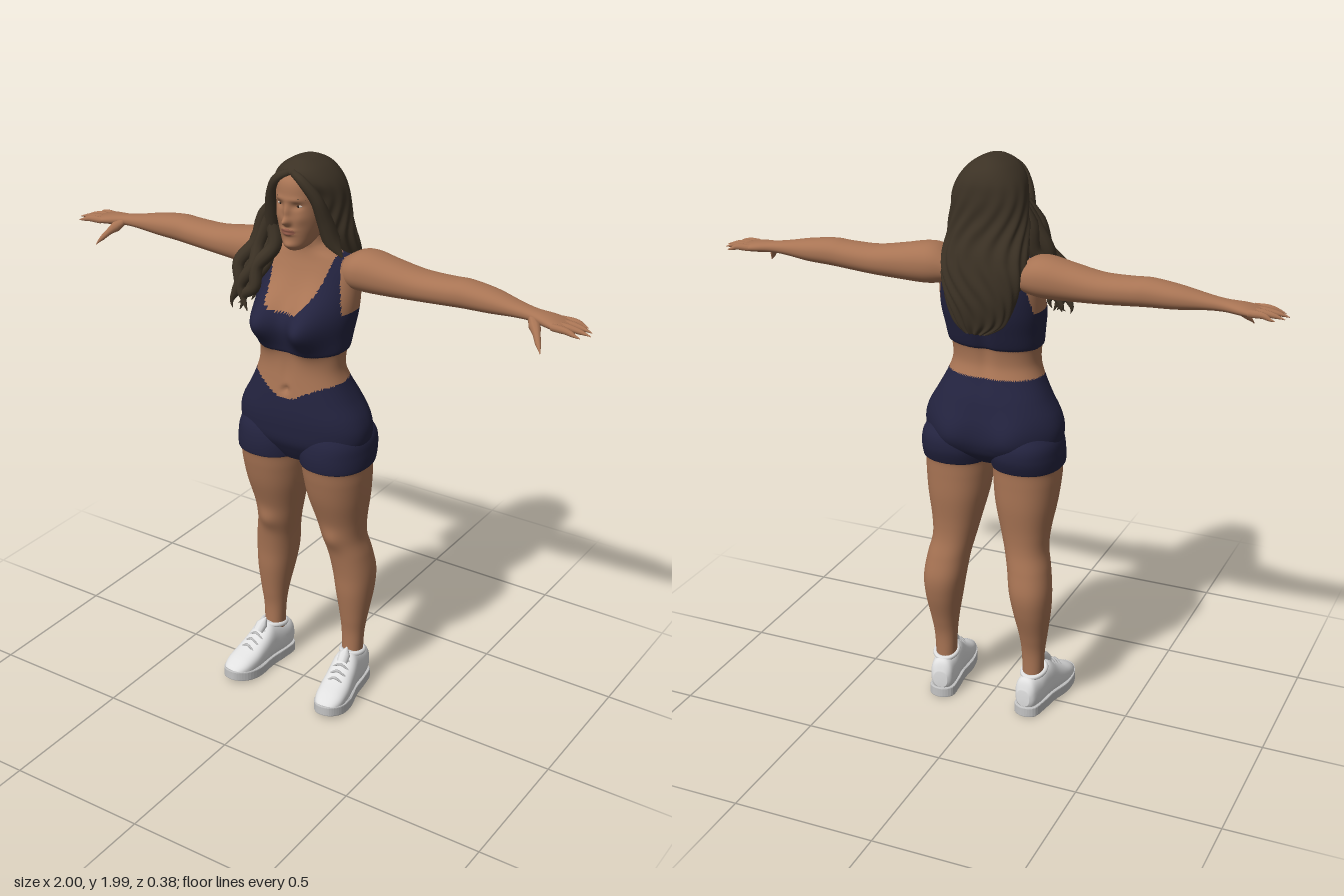
import * as THREE from 'three';

const mat = (name, color, side = THREE.FrontSide) => Object.assign(new THREE.MeshStandardMaterial({ color, side }), { name });

// Smooth closed loft. Each row is [t, a0, a1, b0, b1]: a position and the extents of its oval.
const upright = (t, a, b) => [a, t, b];   // along y: a = x, b = z
const sideways = (t, a, b) => [t, b, a];  // along x: a = z, b = y
const forward = (t, a, b) => [b, a, t];   // along z: a = y, b = x
function loft(rows, { map = upright, n = 48, steps = 6, power = 0.9, warp } = {}) {
  const spline = (p, q, r, s, u) =>
    0.5 * (2 * q + (r - p) * u + (2 * p - 5 * q + 4 * r - s) * u * u + (3 * q - p - 3 * r + s) * u * u * u);
  const at = (i) => rows[Math.min(rows.length - 1, Math.max(0, i))];
  const rings = [];
  const total = (rows.length - 1) * steps;
  for (let k = 0; k <= total; k++) {
    const i = Math.floor(k / steps);
    rings.push(rows[0].map((_, c) => spline(at(i - 1)[c], at(i)[c], at(i + 1)[c], at(i + 2)[c], k / steps - i)));
  }
  const point = ([t, a0, a1, b0, b1]) => [t, (a0 + a1) / 2, (a0 + a1) / 2, (b0 + b1) / 2, (b0 + b1) / 2];
  rings.unshift(point(rings[0]));
  rings.push(point(rings[rings.length - 1]));
  const pos = [], index = [];
  const soft = (v) => Math.sign(v) * Math.abs(v) ** power;
  rings.forEach(([t, a0, a1, b0, b1], i) => {
    for (let j = 0; j < n; j++) {
      const th = (j / n) * Math.PI * 2, c = soft(Math.cos(th)), s = soft(Math.sin(th));
      const p = new THREE.Vector3(...map(t, (a0 + a1 + (a1 - a0) * c) / 2, (b0 + b1 + (b1 - b0) * s) / 2));
      if (warp) warp(p, s, th);
      pos.push(p.x, p.y, p.z);
      if (i === rings.length - 1) continue;
      const p0 = i * n + j, p1 = i * n + (j + 1) % n;
      index.push(p0, p0 + n, p1, p1, p0 + n, p1 + n);
    }
  });
  const geo = new THREE.BufferGeometry();
  geo.setAttribute('position', new THREE.Float32BufferAttribute(pos, 3));
  geo.setIndex(index);
  geo.computeVertexNormals();
  return geo;
}

// Swelling or hollow in z: [x, y, width, height, amount], mirrored when x is not 0
const swell = (list, dir = 1) => (p, s) => {
  const w = Math.sqrt(Math.max(0, s * dir));
  let d = 0;
  for (const [x, y, rx, ry, amount] of list)
    for (const cx of x ? [x, -x] : [0]) d += amount * Math.exp(-(((p.x - cx) / rx) ** 2) - ((p.y - y) / ry) ** 2);
  p.z += dir * w * d;
};

// Sorts the triangles into material groups by a rule on their centres
function paint(geo, rule, count) {
  const p = geo.attributes.position, idx = geo.index.array;
  const bins = Array.from({ length: count }, () => []);
  for (let i = 0; i < idx.length; i += 3) {
    const t = [idx[i], idx[i + 1], idx[i + 2]];
    const mean = (f) => (p[f](t[0]) + p[f](t[1]) + p[f](t[2])) / 3;
    bins[rule(mean('getX'), mean('getY'), mean('getZ'))].push(...t);
  }
  geo.setIndex(bins.flat());
  let start = 0;
  bins.forEach((b, m) => { geo.addGroup(start, b.length, m); start += b.length; });
  return geo;
}

function mirror(source) {
  const geo = source.clone().scale(-1, 1, 1), a = geo.index.array;
  for (let i = 0; i < a.length; i += 3) [a[i], a[i + 1]] = [a[i + 1], a[i]];
  geo.computeVertexNormals();
  return geo;
}

// Tapered tube through points [x, y, z, radius]
function strand(pts, n = 16, sides = 10) {
  const curve = new THREE.CatmullRomCurve3(pts.map(([x, y, z]) => new THREE.Vector3(x, y, z)));
  const geo = new THREE.TubeGeometry(curve, n, 1, sides), p = geo.attributes.position, v = new THREE.Vector3();
  for (let i = 0; i < p.count; i++) {
    const u = Math.floor(i / (sides + 1)) / n, f = u * (pts.length - 1), k = Math.min(pts.length - 2, Math.floor(f));
    const c = curve.getPointAt(u);
    v.fromBufferAttribute(p, i).sub(c).multiplyScalar(THREE.MathUtils.lerp(pts[k][3], pts[k + 1][3], f - k)).add(c);
    p.setXYZ(i, v.x, v.y, v.z);
  }
  return geo;
}

export function createModel() {
  const skin = mat('skin', 0xa87454), navy = mat('navy fabric', 0x23233f), hair = mat('dark brown hair', 0x3c3225);
  const white = mat('white shoe', 0xe0e0e0), grey = mat('grey sole', 0xc4c4c4);
  const lip = mat('lips', 0x955c4a), eyeWhite = mat('eye white', 0xcbbfb4), iris = mat('iris', 0x33241a);
  const model = new THREE.Group();
  const add = (name, geo, m, parent = model) => {
    const mesh = new THREE.Mesh(geo, m);
    mesh.name = name;
    parent.add(mesh);
    return mesh;
  };
  const pair = (name, geo, m) => { add('left' + name, geo, m); add('right' + name, mirror(geo), m); };
  const sym = (rows) => rows.map(([y, r, zb, zf]) => [y, -r, r, zb, zf]);

  // Torso with sports top and shorts
  const front = swell([[0.087, 1.455, 0.07, 0.085, 0.105], [0, 1.215, 0.012, 0.012, -0.014], [0, 1.28, 0.02, 0.07, -0.006]]);
  const back = swell([[0.11, 1.05, 0.09, 0.085, 0.04], [0, 1.4, 0.025, 0.16, -0.012]], -1);
  const torso = loft(sym([
    [0.94, 0.1, -0.09, 0.07], [0.98, 0.2, -0.13, 0.095], [1.02, 0.238, -0.145, 0.115], [1.07, 0.247, -0.15, 0.122],
    [1.12, 0.234, -0.15, 0.124], [1.18, 0.2, -0.14, 0.12], [1.24, 0.17, -0.113, 0.112], [1.29, 0.154, -0.095, 0.105],
    [1.345, 0.156, -0.098, 0.098], [1.36, 0.165, -0.11, 0.1], [1.41, 0.17, -0.128, 0.095], [1.48, 0.178, -0.148, 0.085],
    [1.56, 0.177, -0.157, 0.06], [1.62, 0.17, -0.152, 0.038], [1.66, 0.14, -0.14, 0.025], [1.69, 0.085, -0.12, 0.022],
    [1.72, 0.058, -0.09, 0.028], [1.8, 0.055, -0.08, 0.03],
  ]), { n: 144, steps: 8, power: 0.88, warp: (p, s) => { front(p, s); back(p, s); } });
  const clothed = (x, y, z) => {
    const ax = Math.abs(x);
    if (y < 1.3) return y < 1.25 - (z > 0 ? 0.065 * Math.exp(-((x / 0.1) ** 2)) : 0) ? 1 : 0;
    if (y < 1.35) return 0;
    const neckline = (z > -0.06 ? 1.495 : 1.56) + 0.1 * (ax / 0.1) ** 4;
    const armhole = y > 1.49 && ax > 0.13 + (1.68 - y) * 0.2;
    return y < neckline && !armhole && ax > (y > 1.66 ? 0.08 : -1) ? 1 : 0;
  };
  add('torso', paint(torso, clothed, 2), [skin, navy]);

  // Legs with the short trouser legs
  const leg = loft([
    [0.1, 0.135, 0.205, -0.105, -0.025], [0.22, 0.13, 0.21, -0.105, -0.028], [0.3, 0.122, 0.22, -0.122, -0.018],
    [0.4, 0.104, 0.233, -0.152, -0.005], [0.48, 0.09, 0.236, -0.163, 0], [0.56, 0.078, 0.226, -0.15, 0.012],
    [0.63, 0.062, 0.212, -0.136, 0.028], [0.7, 0.045, 0.216, -0.135, 0.045], [0.8, 0.022, 0.232, -0.144, 0.08],
    [0.88, 0.012, 0.24, -0.146, 0.1], [0.932, 0.009, 0.242, -0.148, 0.11], [0.942, 0.004, 0.25, -0.156, 0.118],
    [0.99, 0.004, 0.25, -0.172, 0.12], [1.04, 0.02, 0.24, -0.165, 0.11], [1.09, 0.05, 0.2, -0.12, 0.08],
  ], { steps: 8, warp: (p, s) => { if (s > 0) p.z += 0.012 * s * Math.exp(-(((p.x - 0.135) / 0.04) ** 2) - ((p.y - 0.64) / 0.04) ** 2); } });
  pair('Leg', paint(leg, (x, y) => (y > 0.936 ? 1 : 0), 2), [skin, navy]);

  // Arms and hands
  pair('Arm', loft([
    [0.12, -0.13, -0.015, 1.57, 1.655], [0.17, -0.15, 0.003, 1.557, 1.685], [0.22, -0.155, 0, 1.553, 1.69],
    [0.3, -0.15, -0.01, 1.555, 1.675], [0.4, -0.147, -0.022, 1.56, 1.659], [0.5, -0.143, -0.027, 1.567, 1.659],
    [0.56, -0.14, -0.03, 1.571, 1.662], [0.65, -0.134, -0.035, 1.575, 1.651], [0.74, -0.115, -0.043, 1.583, 1.632],
    [0.8, -0.106, -0.045, 1.584, 1.622], [0.86, -0.115, -0.028, 1.58, 1.616], [0.905, -0.116, -0.02, 1.58, 1.606],
    [0.92, -0.108, -0.028, 1.585, 1.601],
  ], { map: sideways }), skin);
  [[-0.105, -0.112, 0.965], [-0.081, -0.083, 0.99], [-0.056, -0.055, 0.998], [-0.031, -0.022, 0.978]].forEach(([z0, z1, tip], i) =>
    pair('Finger' + (i + 1), strand([[0.88, 1.596, z0, 0.012], [0.93, 1.595, (z0 + z1) / 2, 0.012],
      [tip - 0.015, 1.587, z1, 0.009], [tip, 1.583, z1, 0.001]]), skin));
  pair('Thumb', strand([[0.8, 1.6, -0.055, 0.012], [0.83, 1.575, -0.025, 0.019], [0.855, 1.545, 0.005, 0.012],
    [0.866, 1.53, 0.016, 0.009], [0.87, 1.523, 0.02, 0.001]]), skin);

  // Head with modelled features
  const face = swell([
    [0, 1.8, 0.013, 0.013, 0.026], [0, 1.83, 0.011, 0.028, 0.013], [0, 1.77, 0.022, 0.006, 0.008], [0, 1.757, 0.018, 0.006, 0.008],
    [0.033, 1.852, 0.017, 0.011, -0.009], [0, 1.717, 0.024, 0.013, 0.008], [0.03, 1.873, 0.028, 0.009, 0.004], [0.045, 1.81, 0.02, 0.02, 0.005],
  ]);
  const head = loft(sym([
    [1.697, 0.025, 0, 0.075], [1.715, 0.045, -0.04, 0.088], [1.75, 0.062, -0.08, 0.093], [1.79, 0.074, -0.1, 0.096],
    [1.84, 0.08, -0.11, 0.098], [1.89, 0.08, -0.11, 0.1], [1.93, 0.073, -0.1, 0.092], [1.96, 0.05, -0.07, 0.062], [1.972, 0.02, -0.03, 0.03],
  ]), { n: 120, steps: 12, warp: face });
  add('head', paint(head, (x, y, z) => (z > 0.07 && (x / 0.026) ** 2 + ((y - 1.764) / 0.011) ** 2 < 1 ? 1 : 0), 2), [skin, lip]);
  const ball = (x, y, z, rx, ry, rz) => new THREE.SphereGeometry(1, 16, 12).scale(rx, ry, rz).translate(x, y, z);
  pair('Eye', ball(0.033, 1.852, 0.078, 0.014, 0.0055, 0.007), eyeWhite);
  pair('Iris', ball(0.033, 1.852, 0.0825, 0.0055, 0.005, 0.004), iris);
  pair('Eyebrow', strand([[0.014, 1.872, 0.099, 0.001], [0.035, 1.878, 0.092, 0.003], [0.056, 1.873, 0.076, 0.001]], 12, 6), hair);
  pair('UpperLashes', strand([[0.018, 1.854, 0.084, 0.001], [0.033, 1.859, 0.084, 0.002], [0.05, 1.853, 0.074, 0.001]], 10, 6), iris);

  // Long hair down the back, with gentle waves
  add('hair', loft([
    [1.42, -0.03, 0.05, -0.16, -0.13], [1.46, -0.09, 0.09, -0.172, -0.12], [1.54, -0.125, 0.12, -0.185, -0.1],
    [1.62, -0.148, 0.138, -0.184, -0.07], [1.68, -0.15, 0.142, -0.175, -0.035], [1.74, -0.142, 0.135, -0.16, 0],
    [1.8, -0.134, 0.13, -0.15, 0.02], [1.87, -0.125, 0.125, -0.147, 0.045], [1.92, -0.108, 0.108, -0.14, 0.075],
    [1.96, -0.075, 0.075, -0.115, 0.073], [1.984, -0.035, 0.035, -0.07, 0.035], [1.989, -0.012, 0.012, -0.035, 0.005],
  ], {
    n: 96, steps: 8, warp: (p, s, th) => {
      const w = 0.004 * THREE.MathUtils.clamp((1.93 - p.y) * 6, 0, 1) * Math.sin(14 * th + 6 * Math.sin(p.y * 14));
      p.x += w * Math.cos(th);
      p.z += w * Math.sin(th);
    },
  }), hair);

  // Locks framing the face, the right ones falling over the shoulder
  const locks = new THREE.Group();
  locks.name = 'hairLocks';
  model.add(locks);
  for (const s of [1, -1])
    add('fringe', strand([[s * 0.004, 1.955, 0.07, 0.012], [s * 0.045, 1.932, 0.076, 0.019], [s * 0.083, 1.875, 0.056, 0.022],
      [s * 0.1, 1.8, 0.03, 0.027], [s * 0.115, 1.73, 0.01, 0.03], [s * 0.14, 1.675, -0.01, 0.004]], 28), hair, locks);
  for (let i = 0; i < 7; i++) {
    const k = i / 6 - 0.5, w = i % 2 ? 0.012 : -0.012, zo = (i % 3) * 0.02;
    add('shoulderLock', strand([[-0.1, 1.84, 0.02 - zo, 0.012], [-0.125 + k * 0.04, 1.76, 0.02 - zo, 0.025],
      [-0.14 + k * 0.07 - w, 1.68, 0.035 - zo, 0.025], [-0.165 + k * 0.07 + w, 1.61, 0.065 - zo, 0.024],
      [-0.185 + k * 0.06 - w, 1.54, 0.08 - zo, 0.022], [-0.2 + k * 0.05 + w, 1.485 + k * 0.03, 0.08 - zo, 0.018],
      [-0.2 + k * 0.06, 1.45 + (i % 3) * 0.012, 0.085 - zo, 0.001]], 36), hair, locks);
  }

  // Trainers, toes turned slightly out
  const upper = loft([
    [-0.143, 0.04, 0.1, -0.025, 0.025], [-0.125, 0.02, 0.14, -0.04, 0.04], [-0.08, 0.015, 0.148, -0.047, 0.047],
    [-0.03, 0.015, 0.165, -0.048, 0.048], [0, 0.015, 0.165, -0.05, 0.05], [0.04, 0.015, 0.135, -0.053, 0.053],
    [0.09, 0.015, 0.105, -0.056, 0.056], [0.14, 0.015, 0.084, -0.052, 0.052], [0.175, 0.02, 0.064, -0.036, 0.036], [0.188, 0.03, 0.05, -0.015, 0.015],
  ], { map: forward, power: 0.8 });
  const outline = [[0, -0.148], [0.038, -0.13], [0.046, -0.07], [0.047, 0], [0.058, 0.08], [0.052, 0.145], [0.026, 0.183], [0, 0.19]];
  const loop = [...outline, ...outline.slice(1, -1).reverse().map(([x, z]) => [-x, z])];
  const ring = new THREE.CatmullRomCurve3(loop.map(([x, z]) => new THREE.Vector3(x, -z, 0)), true).getPoints(64);
  const sole = new THREE.ExtrudeGeometry(new THREE.Shape(ring.map((v) => new THREE.Vector2(v.x, v.y))),
    { depth: 0.03, bevelSize: 0.003, bevelThickness: 0.004, bevelSegments: 2 }).rotateX(-Math.PI / 2).translate(0, 0.004, 0);
  const sp = sole.attributes.position;
  for (let i = 0; i < sp.count; i++) sp.setY(i, sp.getY(i) + 0.4 * Math.max(0, sp.getZ(i) - 0.08) ** 1.4); // toe spring
  sole.computeVertexNormals();
  for (const s of [1, -1]) {
    const shoe = new THREE.Group();
    shoe.name = s > 0 ? 'leftShoe' : 'rightShoe';
    shoe.position.x = s * 0.18;
    shoe.rotation.y = s * 0.13;
    model.add(shoe);
    add('shoeUpper', upper, white, shoe);
    add('shoeSole', sole, grey, shoe);
    add('shoeTongue', strand([[0, 0.145, 0.03, 0.02], [0, 0.168, 0.005, 0.022], [0, 0.185, -0.015, 0.002]], 10), white, shoe);
    const collar = add('shoeCollar', new THREE.TorusGeometry(0.042, 0.009, 8, 32).rotateX(Math.PI / 2).scale(0.95, 1, 1.15), white, shoe);
    collar.position.set(0, 0.15, -0.062);
    collar.rotation.x = -0.2;
    for (let i = 0; i < 4; i++) {
      const z = 0.015 + i * 0.024, y = 0.157 - i * 0.0145;
      add('shoeLace', strand([[-0.03, y - 0.016, z, 0.003], [0, y + 0.003, z + 0.004, 0.005], [0.03, y - 0.016, z, 0.003]], 10, 6), grey, shoe);
    }
  }
  return model;
}
